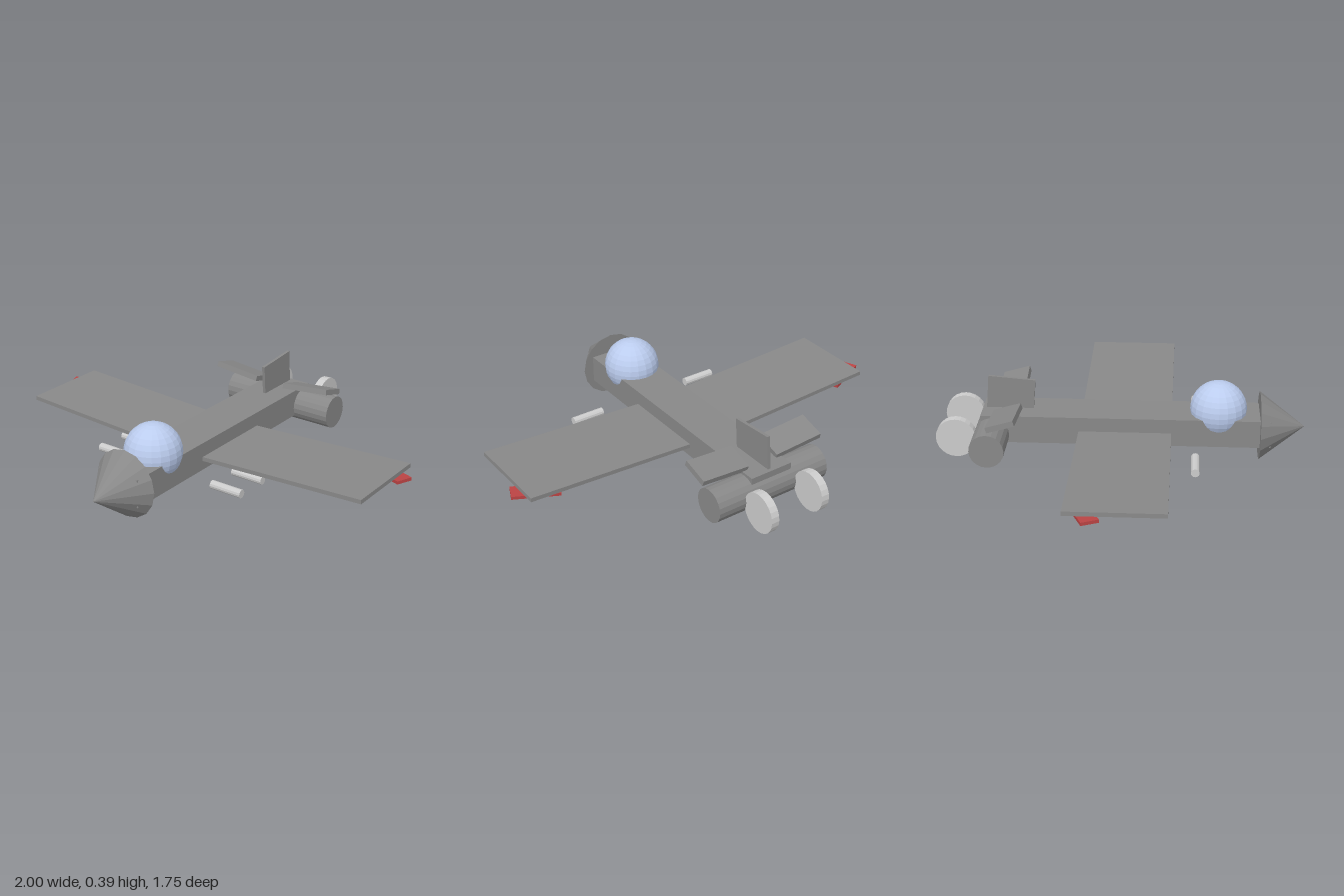
import * as THREE from 'three';

const mat = (color) => new THREE.MeshStandardMaterial({ color, flatShading: true });

export function createModel() {
  const model = new THREE.Group();
  const body = mat(0x888888);
  const light = mat(0xcccccc);
  const red = mat(0xbb4444);
  const glass = mat(0xbbccee);

  const add = (name, geometry, material, position, rotation = [0, 0, 0]) => {
    const mesh = new THREE.Mesh(geometry, material);
    mesh.name = name;
    mesh.position.set(...position);
    mesh.rotation.set(...rotation);
    model.add(mesh);
    return mesh;
  };
  const box = (x, y, z) => new THREE.BoxGeometry(x, y, z);
  const rod = (radius, length, sides) =>
    new THREE.CylinderGeometry(radius, radius, length, sides).rotateZ(Math.PI / 2);

  // Fuselage, its front corners just breaking through the nose
  add('fuselage', box(0.22, 0.135, 1.375), body, [0, 0.168, 0.0225]);
  add('noseCone', new THREE.ConeGeometry(0.163, 0.215, 16).rotateX(Math.PI / 2), body, [0, 0.168, 0.767]);
  add('canopy', new THREE.SphereGeometry(0.135, 20, 16), glass, [0, 0.253, 0.463]);

  // Tail
  add('tailFin', box(0.015, 0.2, 0.225), body, [0, 0.289, -0.53], [0.083, 0, 0]);
  add('engineCylinder', rod(0.082, 0.604, 20), body, [0, 0.142, -0.612]);

  // Paired parts
  for (const [side, s] of [['left', 1], ['right', -1]]) {
    // Wing with slight dihedral and a red panel under its tip
    add(side + 'Wing', box(0.95, 0.02, 0.44), body, [s * 0.475, 0.173, 0.021], [0, 0, s * 0.047]);
    add(side + 'WingtipPanel', box(0.22, 0.015, 0.08), red, [s * 0.885, 0.172, -0.12], [0, s * -0.4, s * 0.047]);

    // Tailplane, pitched nose up
    add(side + 'Tailplane', box(0.25, 0.027, 0.135), body, [s * 0.205, 0.272, -0.537], [-0.28, 0, s * 0.09]);

    // Rear discs
    add(side + 'RearDisc', rod(0.096, 0.04, 24), light, [s * 0.14, 0.14, -0.777]);

    // Sideways rods, one ahead of and one below the wing
    for (const [place, z] of [['Front', 0.355], ['Rear', 0.19]])
      add(side + place + 'Rod', rod(0.02, 0.163, 12), light, [s * 0.331, 0.115, z]);
  }
  return model;
}
